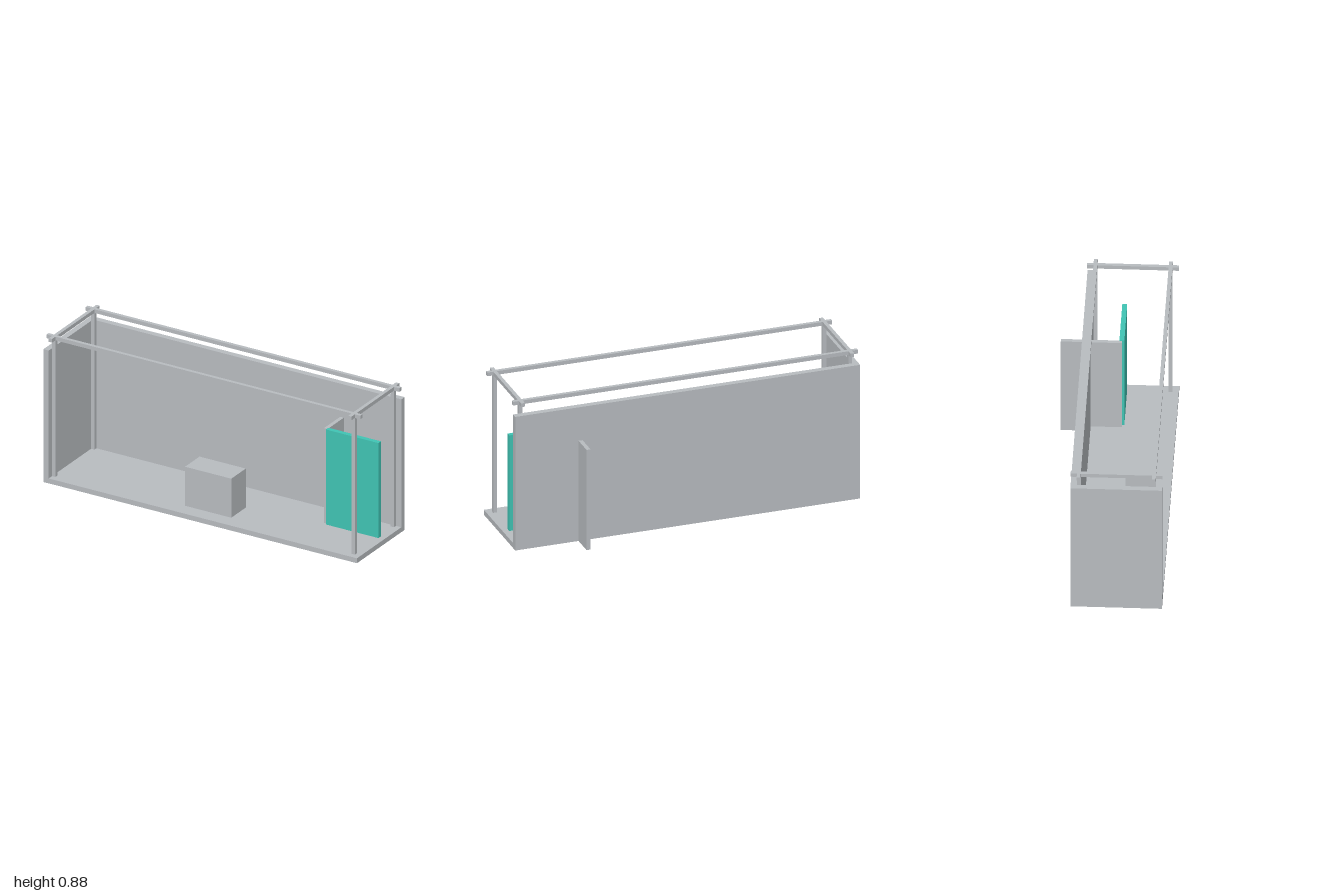
import * as THREE from 'three';

export function createModel() {
  const group = new THREE.Group();
  const grey = new THREE.MeshStandardMaterial({ name: 'grey', color: 0xb8bcc0 });
  const teal = new THREE.MeshStandardMaterial({ name: 'teal', color: 0x40c4b4 });

  // Box given by its extents on each axis
  function slab(name, [x0, x1], [y0, y1], [z0, z1], material = grey) {
    const mesh = new THREE.Mesh(new THREE.BoxGeometry(x1 - x0, y1 - y0, z1 - z0), material);
    mesh.position.set((x0 + x1) / 2, (y0 + y1) / 2, (z0 + z1) / 2);
    mesh.name = name;
    group.add(mesh);
  }

  const back = -0.185, front = 0.315;

  // Stand shell: floor, back wall and one closed side
  slab('floor', [-1, 1], [0.0005, 0.03], [back, front]);
  slab('backWall', [-1, 1], [0, 0.8], [back, -0.15]);
  slab('sideWall', [-1, -0.966], [0, 0.8], [-0.15, front]);

  // Counter on the floor
  slab('counter', [-0.15, 0.145], [0.03, 0.265], [0.075, 0.227]);

  // Storage corner: partition running through the back wall, coloured front panel
  slab('partition', [0.61, 0.633], [0, 0.6], [-0.313, 0.02]);
  slab('frontPanel', [0.63, 0.965], [0, 0.602], [0.006, 0.033], teal);

  // Truss frame: four posts with crossing rails on top
  const postX = [-0.955, 0.955], postZ = [-0.14, 0.27], r = 0.0105;
  const railY = [0.853, 0.875];
  for (const x of postX) {
    for (const z of postZ) slab('post', [x - r, x + r], [0.03, railY[0]], [z - r, z + r]);
    slab('crossRail', [x - r, x + r], railY, [back, front]);
  }
  for (const z of postZ) slab('longRail', [-1, 1], railY, [z - r, z + r]);

  return group;
}
